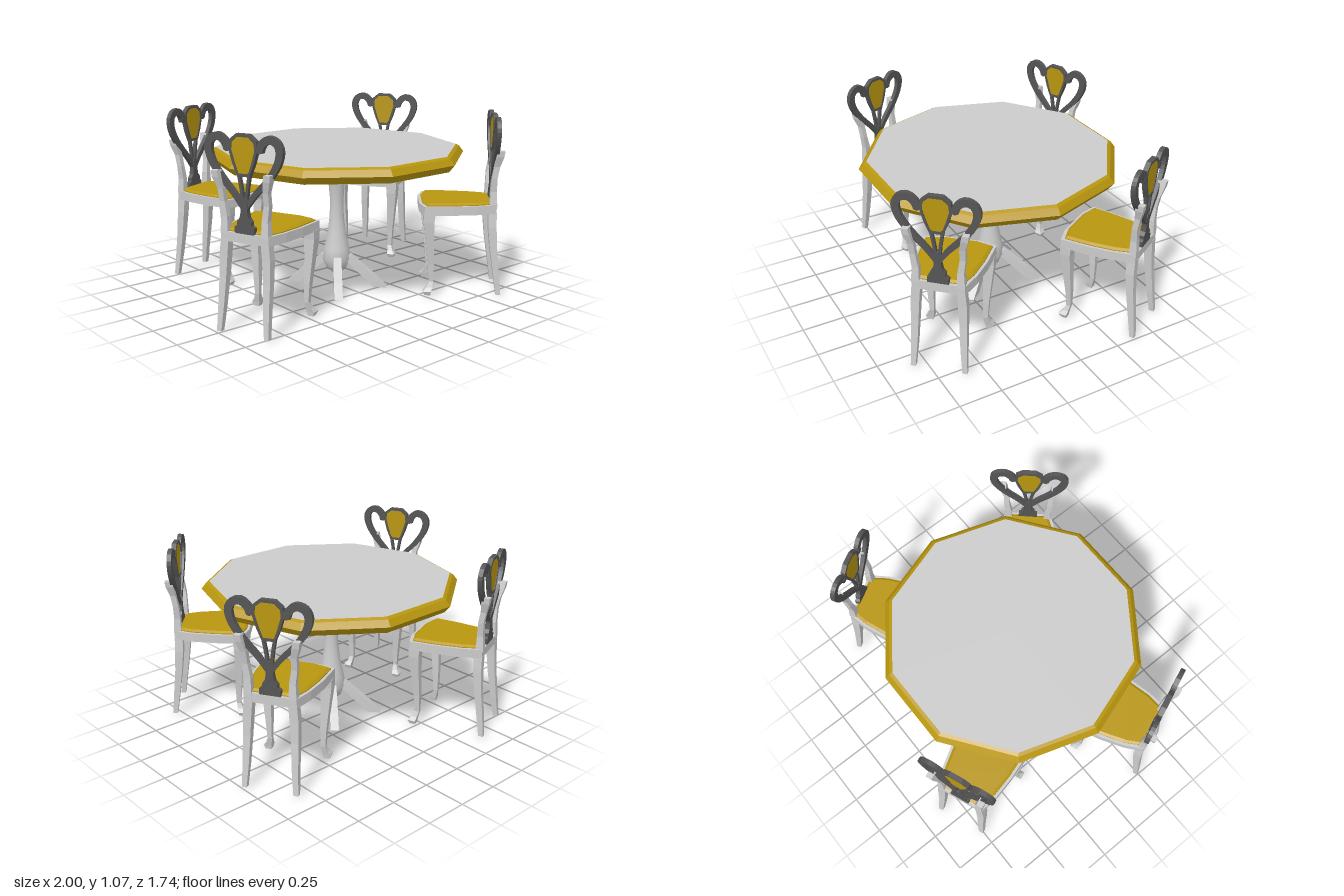
import * as THREE from 'three';

const paint = (color, flatShading = true) =>
  new THREE.MeshStandardMaterial({ color, flatShading, side: THREE.DoubleSide });
const grey = paint(0xcccccc), smoothGrey = paint(0xcccccc, false);
const dark = paint(0x555555), gold = paint(0xb8960f);

function add(parent, name, geometry, material) {
  const mesh = new THREE.Mesh(geometry, material);
  mesh.name = name;
  parent.add(mesh);
  return mesh;
}

// Square-section limb through [x, y, z, halfX, halfZ] stations, listed from top to bottom
function limb(stations) {
  const pos = [], idx = [];
  const corners = [[1, 1], [1, -1], [-1, -1], [-1, 1]];
  stations.forEach(([x, y, z, hx, hz = hx], i) => {
    corners.forEach(([cx, cz]) => pos.push(x + cx * hx, y, z + cz * hz));
    if (i === 0) return;
    for (let k = 0; k < 4; k++) {
      const a = (i - 1) * 4 + k, b = (i - 1) * 4 + (k + 1) % 4;
      idx.push(a, a + 4, b, b, a + 4, b + 4);
    }
  });
  const e = pos.length / 3 - 4;
  idx.push(0, 1, 2, 0, 2, 3, e, e + 2, e + 1, e, e + 3, e + 2);
  const g = new THREE.BufferGeometry();
  g.setAttribute('position', new THREE.Float32BufferAttribute(pos, 3));
  g.setIndex(idx);
  g.computeVertexNormals();
  return g;
}

const vectors = (pts, s = 1) => pts.map(([x, y]) => new THREE.Vector2(s * x, y));

// Outline from its right half (bottom to top), mirrored in x
const mirrored = (half) => [...vectors(half), ...vectors(half, -1).reverse()];

// Upright plate of the given thickness, centred on z = 0
function plate(shape, depth) {
  return new THREE.ExtrudeGeometry(shape, { depth, bevelEnabled: false, curveSegments: 6 })
    .translate(0, 0, -depth / 2);
}

// Flat curved strip of varying half width
function ribbon(pts, side, w0, w1, steps, depth) {
  const curve = new THREE.SplineCurve(vectors(pts, side));
  const left = [], right = [];
  for (let i = 0; i <= steps; i++) {
    const t = i / steps, p = curve.getPoint(t), d = curve.getTangent(t);
    const w = w0 + (w1 - w0) * Math.min(1, t * 2);
    left.push(new THREE.Vector2(p.x - d.y * w, p.y + d.x * w));
    right.unshift(new THREE.Vector2(p.x + d.y * w, p.y - d.x * w));
  }
  return plate(new THREE.Shape([...left, ...right]), depth);
}

// Seat slab: narrow rear, swelling sides, gently bowed front
function seatSlab(inset, y, height, bevel) {
  const half = [[0.145, -0.015], [0.18, 0.1], [0.202, 0.24], [0.21, 0.405], [0.11, 0.432]]
    .map(([x, z]) => [x - inset, z + (z < 0 ? inset : z > 0.35 ? -inset : 0)]);
  const shape = new THREE.Shape(mirrored(half.map(([x, z]) => [x, -z])));
  return new THREE.ExtrudeGeometry(shape, {
    depth: height, bevelEnabled: bevel > 0, bevelThickness: bevel, bevelSize: bevel * 1.5,
    bevelOffset: -bevel * 1.5, bevelSegments: 1,
  }).rotateX(-Math.PI / 2).translate(0, y, 0);
}

function createChair() {
  const chair = new THREE.Group();
  add(chair, 'seatFrame', seatSlab(0, 0.5, 0.052, 0), grey);
  add(chair, 'seatCushion', seatSlab(0.016, 0.545, 0.012, 0.01), gold);

  for (const s of [1, -1]) {
    // Cabriole front leg with a knob foot
    add(chair, 'frontLeg', limb([
      [s * 0.176, 0.505, 0.376, 0.034], [s * 0.178, 0.455, 0.378, 0.031],
      [s * 0.172, 0.34, 0.37, 0.024], [s * 0.163, 0.2, 0.36, 0.018],
      [s * 0.16, 0.09, 0.357, 0.013], [s * 0.168, 0.058, 0.368, 0.017],
      [s * 0.178, 0.035, 0.38, 0.024], [s * 0.176, 0.012, 0.376, 0.017],
    ]), grey);
    // Back leg, kicked out at the foot
    add(chair, 'backLeg', limb([
      [s * 0.122, 0.51, 0.008, 0.024], [s * 0.13, 0.42, 0.006, 0.024],
      [s * 0.134, 0.3, -0.004, 0.021], [s * 0.138, 0.15, -0.024, 0.018],
      [s * 0.146, 0.01, -0.042, 0.014],
    ]), grey);
    // Curved post carrying the back
    add(chair, 'backPost', limb([
      [s * 0.158, 0.875, -0.022, 0.018, 0.024], [s * 0.152, 0.84, -0.02, 0.02, 0.022],
      [s * 0.136, 0.78, -0.008, 0.016], [s * 0.134, 0.71, 0.004, 0.016],
      [s * 0.122, 0.63, 0.006, 0.018], [s * 0.124, 0.54, 0.004, 0.022],
    ]), grey);
    // Heart-shaped back frame ending in an inner curl
    add(chair, 'heartScroll', ribbon([
      [0.012, 0.69], [0.06, 0.755], [0.14, 0.84], [0.195, 0.92], [0.213, 0.99],
      [0.192, 1.035], [0.147, 1.047], [0.11, 1.02], [0.095, 0.985],
    ], s, 0.012, 0.021, 24, 0.026), dark);
    add(chair, 'scrollCurl', new THREE.CylinderGeometry(0.02, 0.02, 0.03, 8)
      .rotateX(Math.PI / 2).translate(s * 0.098, 0.993, 0), dark);
    add(chair, 'splatStrip', ribbon([[0.008, 0.68], [0.016, 0.77], [0.034, 0.87]],
      s, 0.01, 0.008, 6, 0.02), dark);
  }

  // Pear-shaped panel in its frame
  const pear = [[0.03, 0.865], [0.05, 0.92], [0.07, 0.985], [0.066, 1.025], [0.034, 1.052]];
  const rim = [[0.036, 0.85], [0.064, 0.915], [0.085, 0.985], [0.08, 1.035], [0.04, 1.068]];
  const frame = new THREE.Shape(mirrored(rim));
  frame.holes.push(new THREE.Path(mirrored(pear)));
  add(chair, 'panelFrame', plate(frame, 0.028), dark);
  add(chair, 'backPanel', plate(new THREE.Shape(mirrored(pear)), 0.02), gold);

  // Stem with stepped foot on the rear of the seat
  add(chair, 'splatStem', plate(new THREE.Shape(mirrored([
    [0.058, 0.55], [0.058, 0.585], [0.042, 0.595], [0.042, 0.615], [0.026, 0.635],
    [0.019, 0.67], [0.022, 0.71], [0.008, 0.74],
  ])), 0.03), dark);
  return chair;
}

function createTable() {
  const table = new THREE.Group();
  table.name = 'table';
  const start = Math.PI / 2;

  // Ten-sided top with a bevelled rim
  add(table, 'tableTop', new THREE.CylinderGeometry(0.72, 0.69, 0.09, 10, 1, false, start)
    .translate(0, 0.82, 0), grey);
  add(table, 'tableRim', new THREE.LatheGeometry(vectors([
    [0.69, 0.775], [0.735, 0.779], [0.767, 0.82], [0.74, 0.855], [0.72, 0.865],
  ]), 10, start), gold);

  // Turned pedestal
  add(table, 'pedestal', new THREE.LatheGeometry(vectors([
    [0, 0.1], [0.06, 0.1], [0.066, 0.12], [0.088, 0.165], [0.078, 0.23], [0.056, 0.33],
    [0.044, 0.43], [0.041, 0.53], [0.05, 0.63], [0.072, 0.72], [0.096, 0.78],
  ]), 12), smoothGrey);

  // Four splayed feet
  for (const sx of [1, -1]) for (const sz of [1, -1]) {
    const leg = add(table, 'tableLeg', limb([
      [0.06, 0.19, 0, 0.03, 0.024], [0.12, 0.135, 0, 0.036, 0.025],
      [0.19, 0.075, 0, 0.04, 0.025], [0.24, 0.03, 0, 0.04, 0.025],
      [0.27, 0, 0, 0.042, 0.025],
    ]), grey);
    leg.rotation.y = Math.atan2(-sz * 0.21, sx * 0.165);
  }
  table.position.set(0.013, 0, 0.025);
  return table;
}

export function createModel() {
  const model = new THREE.Group();
  model.name = 'diningSet';
  model.add(createTable());
  // Chairs: back position x, z and the direction they face
  const places = [
    [-0.503, -0.765, 0.376], [0.872, -0.473, -1.05],
    [-0.888, 0.364, 1.961], [0.66, 0.685, -2.32],
  ];
  for (const [x, z, turn] of places) {
    const chair = createChair();
    chair.name = 'chair';
    chair.position.set(x, 0, z);
    chair.rotation.y = turn;
    model.add(chair);
  }
  return model;
}
